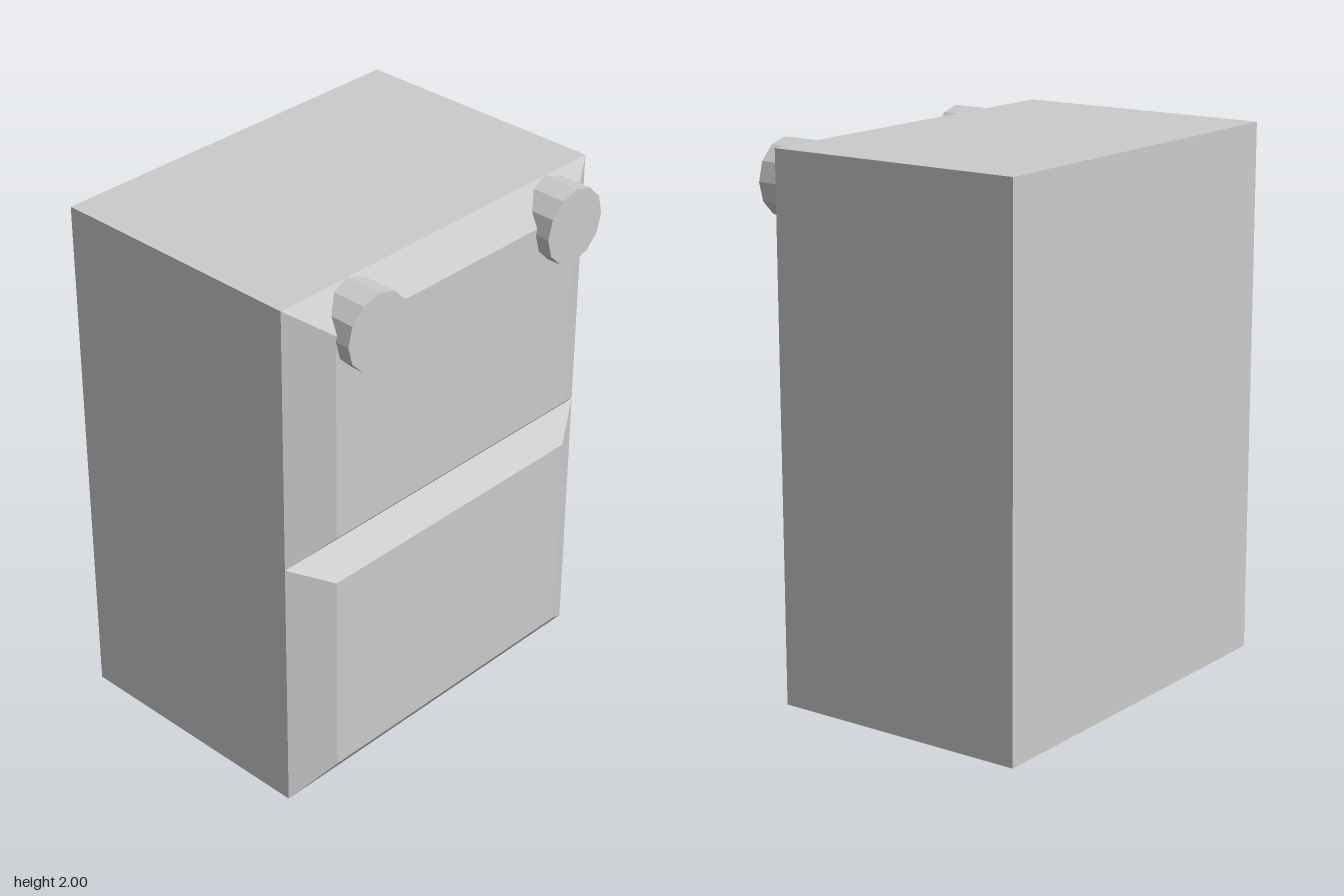
import * as THREE from 'three';

const W = 0.745, BACK = -0.57, FACE = 0.425, PANEL = 0.515, FRONT = 0.57;

export function createModel() {
  const group = new THREE.Group();
  const material = new THREE.MeshStandardMaterial({ color: 0xcccccc, flatShading: true });

  const add = (name, geometry, x, y, z) => {
    const mesh = new THREE.Mesh(geometry, material);
    mesh.name = name;
    mesh.position.set(x, y, z);
    group.add(mesh);
  };

  // Panel with its front face drawn in to leave bevels on all four sides
  const bevelledPanel = (y0, y1, front0, front1, frontHalfWidth) => {
    const geometry = new THREE.BoxGeometry(2 * W, y1 - y0, PANEL - FACE);
    geometry.translate(0, (y0 + y1) / 2, (FACE + PANEL) / 2);
    const p = geometry.attributes.position;
    const middle = (y0 + y1) / 2;
    for (let i = 0; i < p.count; i++) {
      if (p.getZ(i) < (FACE + PANEL) / 2) continue;
      p.setX(i, Math.sign(p.getX(i)) * frontHalfWidth);
      p.setY(i, p.getY(i) > middle ? front1 : front0);
    }
    geometry.computeVertexNormals();
    return geometry;
  };

  // Cabinet body
  add('cabinetBody', new THREE.BoxGeometry(2 * W, 2, FACE - BACK), 0, 1, (FACE + BACK) / 2);

  // Two stacked front panels with a V groove between them
  add('lowerPanel', bevelledPanel(0, 1, 0.12, 0.91, 0.59), 0, 0, 0);
  add('upperPanel', bevelledPanel(1, 2, 1.095, 1.88, 0.59), 0, 0, 0);

  // Twelve-sided knobs, placed slightly off symmetry
  const knobDepth = FRONT - FACE;
  const knob = new THREE.CylinderGeometry(0.141, 0.141, knobDepth, 12).rotateX(Math.PI / 2);
  add('rightKnob', knob, -0.45, 1.859, FRONT - knobDepth / 2);
  add('leftKnob', knob, 0.525, 1.859, FRONT - knobDepth / 2);

  return group;
}
